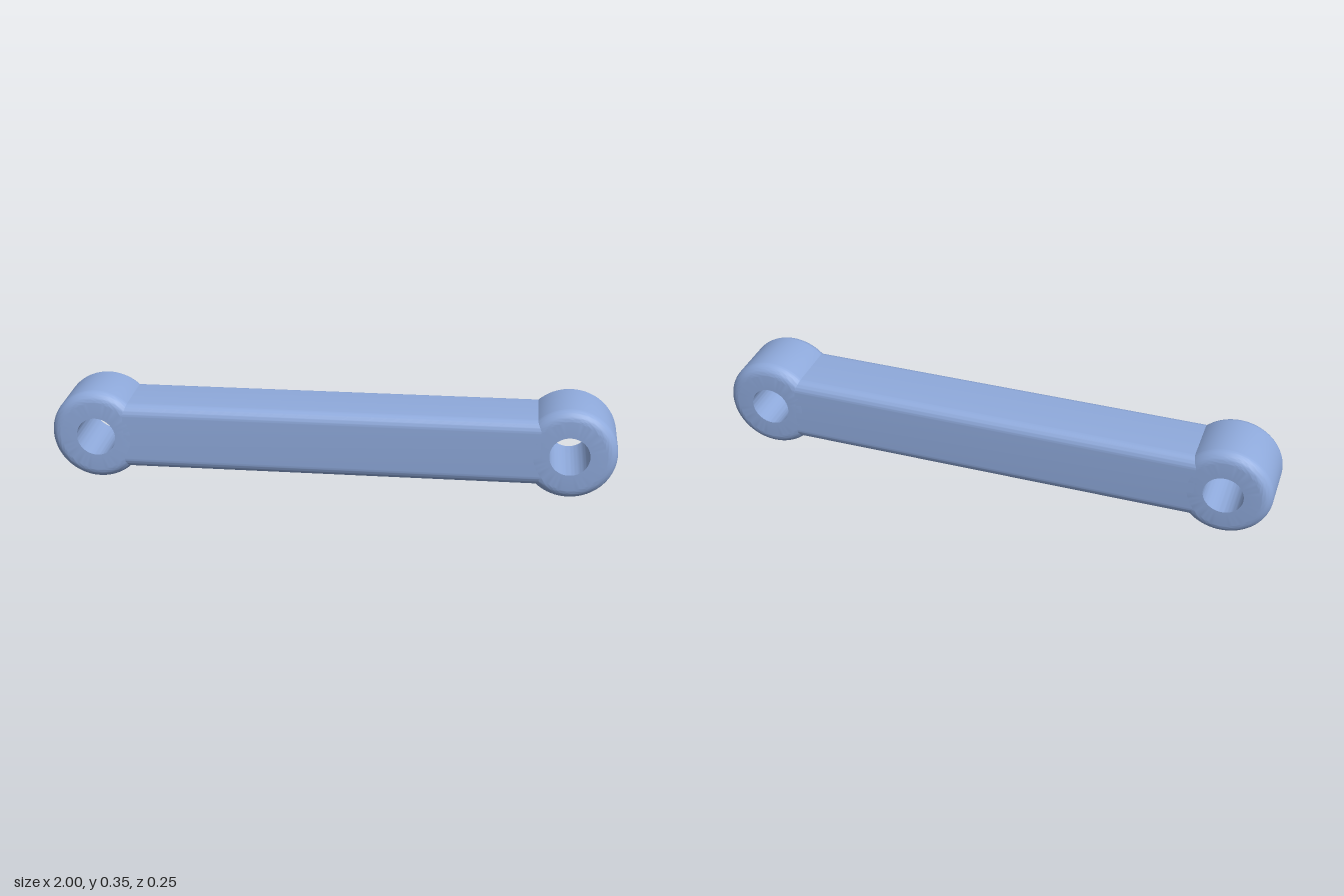
import * as THREE from 'three';
import { toCreasedNormals } from 'three/addons/utils/BufferGeometryUtils.js';

const HALF_DEPTH = 0.125, FILLET = 0.04;
const EYE_RADIUS = 0.165, HOLE_RADIUS = 0.07;
const BAR_HALF_HEIGHT = 0.12, BAR_INSET = 0.1;

// Ring with a straight bore and rounded outer rims
function eyeGeometry() {
  const profile = new THREE.Path();
  const r = EYE_RADIUS - FILLET, h = HALF_DEPTH - FILLET;
  profile.moveTo(HOLE_RADIUS, -HALF_DEPTH);
  profile.lineTo(r, -HALF_DEPTH);
  profile.absarc(r, -h, FILLET, -Math.PI / 2, 0);
  profile.lineTo(EYE_RADIUS, h);
  profile.absarc(r, h, FILLET, 0, Math.PI / 2);
  profile.lineTo(HOLE_RADIUS, HALF_DEPTH);
  profile.lineTo(HOLE_RADIUS, -HALF_DEPTH);
  const geo = new THREE.LatheGeometry(profile.getPoints(8), 72).rotateX(Math.PI / 2);
  return toCreasedNormals(geo, 0.6);
}

// Rounded rectangular section swept along x
function barGeometry(length) {
  const a = HALF_DEPTH - FILLET, b = BAR_HALF_HEIGHT - FILLET;
  const section = new THREE.Shape();
  section.absarc(a, b, FILLET, 0, Math.PI / 2);
  section.absarc(-a, b, FILLET, Math.PI / 2, Math.PI);
  section.absarc(-a, -b, FILLET, Math.PI, Math.PI * 1.5);
  section.absarc(a, -b, FILLET, Math.PI * 1.5, Math.PI * 2);
  const geo = new THREE.ExtrudeGeometry(section, { depth: length, bevelEnabled: false, curveSegments: 8 });
  geo.translate(0, 0, -length / 2).rotateY(Math.PI / 2);
  return toCreasedNormals(geo, 0.6);
}

export function createModel() {
  const model = new THREE.Group();
  model.name = 'linkArm';
  const material = new THREE.MeshStandardMaterial({ color: 0x8faadc });

  const right = new THREE.Vector3(-0.835, 0.168, 0);
  const left = new THREE.Vector3(0.835, 0.184, 0);

  // Pivot eyes at both ends
  const eye = eyeGeometry();
  for (const [name, centre] of [['rightEye', right], ['leftEye', left]]) {
    const mesh = new THREE.Mesh(eye, material);
    mesh.name = name;
    mesh.position.copy(centre);
    model.add(mesh);
  }

  // Slightly sloped bar, stopping short of the bores
  const bar = new THREE.Mesh(barGeometry(right.distanceTo(left) - 2 * BAR_INSET), material);
  bar.name = 'bar';
  bar.position.addVectors(right, left).multiplyScalar(0.5);
  bar.rotation.z = Math.atan2(left.y - right.y, left.x - right.x);
  model.add(bar);

  return model;
}
